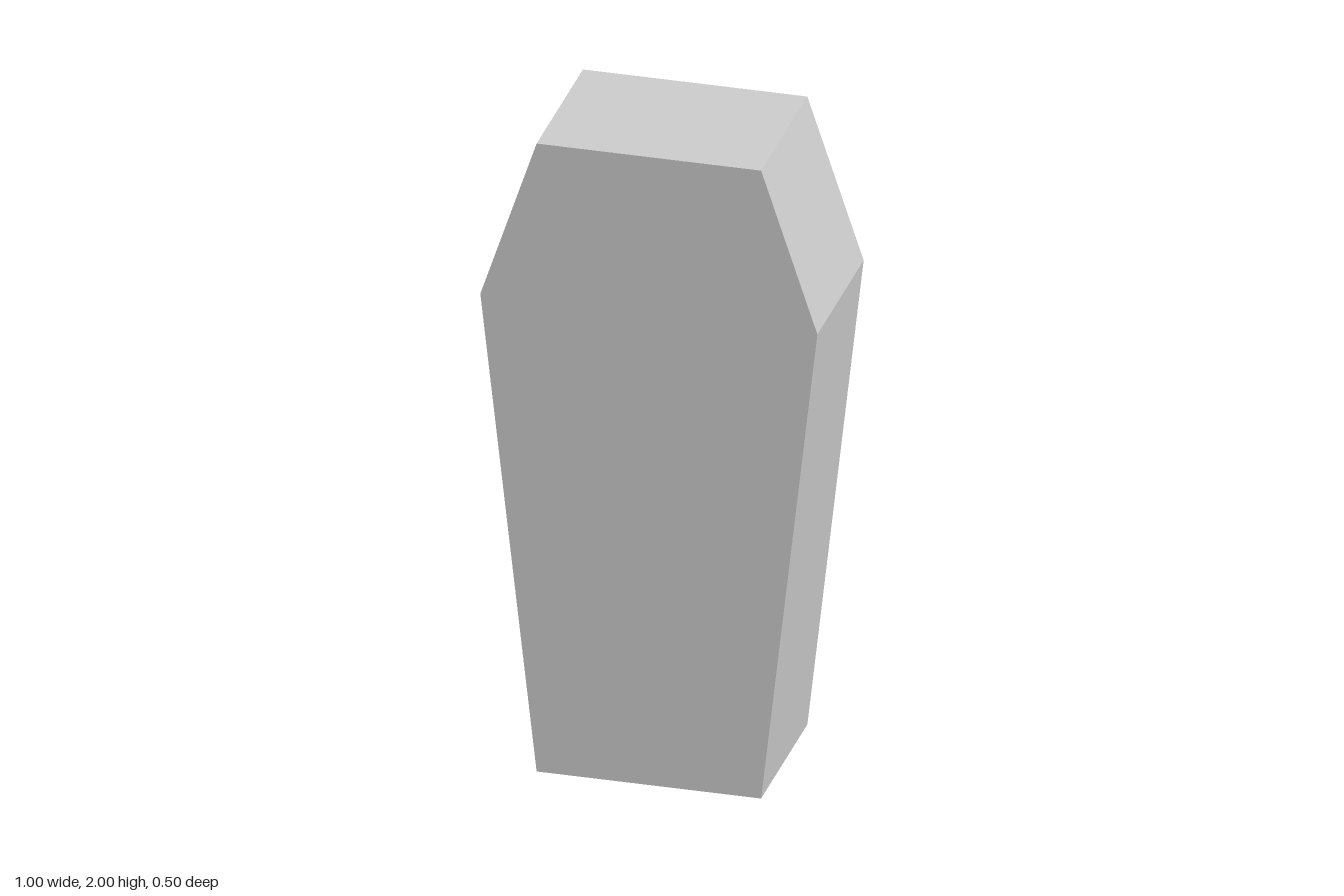
import * as THREE from 'three';

const DEPTH = 0.5;

// Right half of the outline, from foot to head: [half width, height]
const HALF_OUTLINE = [[0.333, 0], [0.5, 1.5], [0.333, 2]];

export function createModel() {
  const group = new THREE.Group();
  group.name = 'coffin';

  // Six-sided outline: one side going up, its mirror coming down
  const right = HALF_OUTLINE.map(([x, y]) => new THREE.Vector2(x, y));
  const left = HALF_OUTLINE.map(([x, y]) => new THREE.Vector2(-x, y)).reverse();
  const outline = new THREE.Shape([...right, ...left]);

  // Solid body, extruded front to back and centred on z
  const geometry = new THREE.ExtrudeGeometry(outline, { depth: DEPTH, bevelEnabled: false });
  geometry.translate(0, 0, -DEPTH / 2);

  const material = new THREE.MeshStandardMaterial({ color: 0xcccccc, flatShading: true });
  const body = new THREE.Mesh(geometry, material);
  body.name = 'coffinBody';
  group.add(body);

  return group;
}
